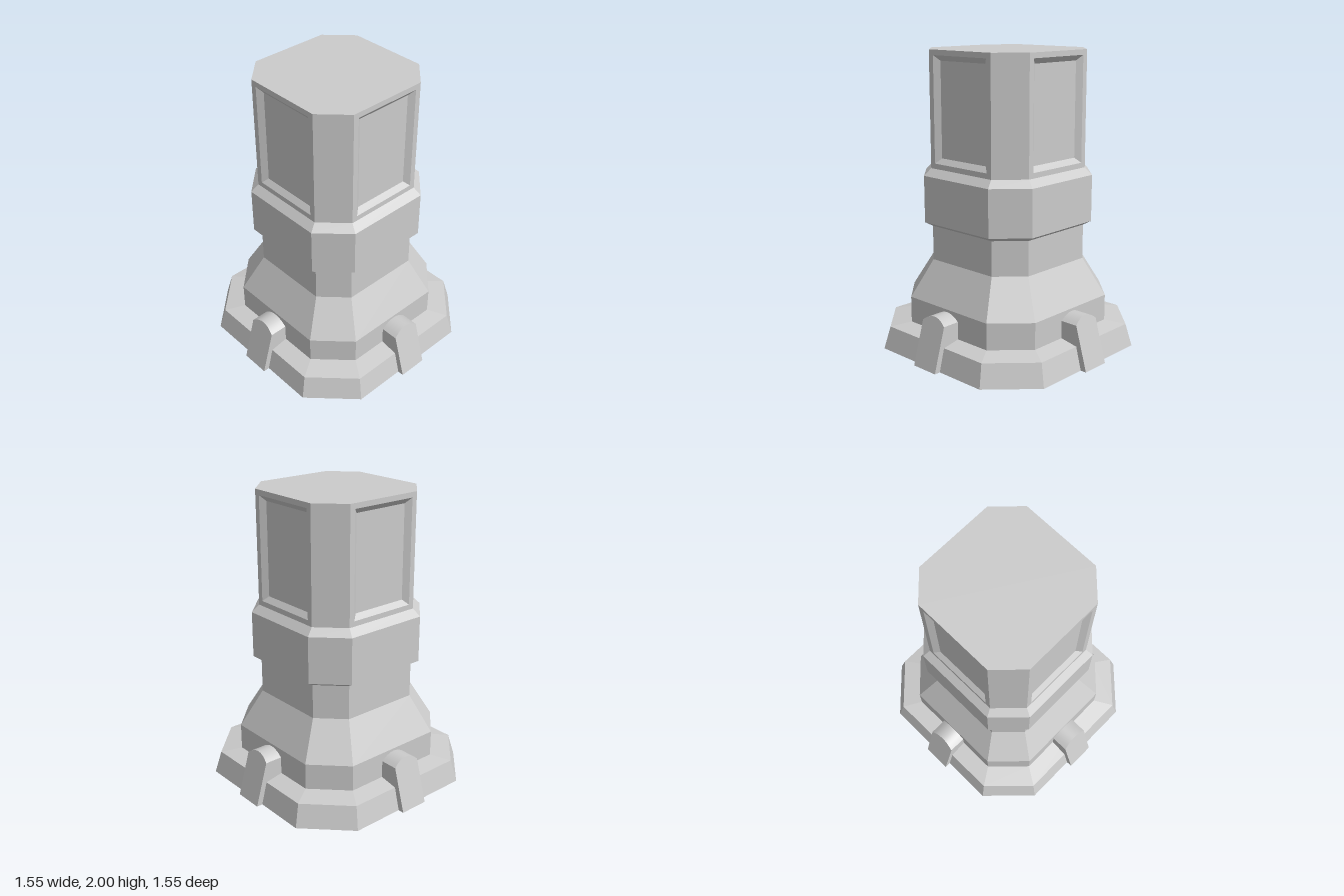
import * as THREE from 'three';
import { toCreasedNormals } from 'three/addons/utils/BufferGeometryUtils.js';

const material = new THREE.MeshStandardMaterial({ color: 0xcccccc, flatShading: true });
const smooth = new THREE.MeshStandardMaterial({ color: 0xcccccc });

// Geometry from quads, corners counter-clockwise seen from outside
function quadGeometry(quads) {
  const pos = [];
  for (const [a, b, c, d] of quads) pos.push(...a, ...b, ...c, ...a, ...c, ...d);
  const g = new THREE.BufferGeometry();
  g.setAttribute('position', new THREE.Float32BufferAttribute(pos, 3));
  g.computeVertexNormals();
  return g;
}

// Square with cut corners: a = half width, b = half length of the straight side
const ring = ([y, a, b]) => [
  [-b, y, a], [b, y, a], [a, y, b], [a, y, -b],
  [b, y, -a], [-b, y, -a], [-a, y, -b], [-a, y, b],
];

// Skin between successive rings
function loft(levels) {
  const rings = levels.map(ring), quads = [];
  for (let i = 0; i < rings.length - 1; i++) {
    for (let j = 0; j < 8; j++) {
      const k = (j + 1) % 8;
      quads.push([rings[i][j], rings[i][k], rings[i + 1][k], rings[i + 1][j]]);
    }
  }
  return quads;
}

// Flat octagonal lid, facing up or down
function cap(level, up) {
  const r = ring(level);
  const quads = [[r[0], r[1], r[4], r[5]], [r[1], r[2], r[3], r[4]], [r[0], r[5], r[6], r[7]]];
  return up ? quads : quads.map((q) => q.reverse());
}

// One side of the upper column: frame, bevel and sunken panel
function panelSide() {
  const rect = (w, y0, y1, z) => [[-w, y0, z], [w, y0, z], [w, y1, z], [-w, y1, z]];
  const loops = [
    rect(0.275, 1.23, 2, 0.44),
    rect(0.237, 1.265, 1.965, 0.44),
    rect(0.2, 1.3, 1.93, 0.41),
  ];
  const quads = [loops[2]];
  for (let i = 0; i < 2; i++) {
    for (let j = 0; j < 4; j++) {
      const k = (j + 1) % 4;
      quads.push([loops[i][j], loops[i][k], loops[i + 1][k], loops[i + 1][j]]);
    }
  }
  return quads;
}

// Arched foot with a leaning front face
function footGeometry() {
  const s = new THREE.Shape();
  s.moveTo(-0.1, 0);
  s.lineTo(0.1, 0);
  s.lineTo(0.1, 0.293);
  s.quadraticCurveTo(0, 0.377, -0.1, 0.293);
  s.closePath();
  const g = new THREE.ExtrudeGeometry(s, { depth: 1, bevelEnabled: false, curveSegments: 10 });
  const p = g.attributes.position;
  for (let i = 0; i < p.count; i++) {
    p.setZ(i, p.getZ(i) > 0.5 ? 0.777 - 0.29 * p.getY(i) : 0.5);
  }
  return toCreasedNormals(g, 0.5);
}

export function createModel() {
  const model = new THREE.Group();
  const add = (name, geometry, mat = material, turn = 0) => {
    const mesh = new THREE.Mesh(geometry, mat);
    mesh.name = name;
    mesh.rotation.y = turn * Math.PI / 2;
    model.add(mesh);
  };

  // Stacked octagonal sections: [height, half width, half straight side]
  const foot = [0, 0.735, 0.458];
  add('basePlate', quadGeometry([
    ...cap(foot, false),
    ...loft([foot, [0.152, 0.695, 0.435], [0.175, 0.572, 0.357]]),
  ]));
  add('plinth', quadGeometry(loft([[0.175, 0.572, 0.357], [0.352, 0.572, 0.357], [0.605, 0.437, 0.273]])));
  add('neck', quadGeometry(loft([[0.605, 0.437, 0.273], [0.838, 0.437, 0.273]])));
  add('collar', quadGeometry(loft([
    [0.838, 0.437, 0.273], [0.868, 0.487, 0.295], [1.182, 0.487, 0.295], [1.23, 0.44, 0.275],
  ])));
  add('columnTop', quadGeometry(cap([2, 0.44, 0.275], true)));

  // Panels, corner strips and feet repeat on all four sides
  const side = quadGeometry(panelSide());
  const corner = quadGeometry([[[0.275, 1.23, 0.44], [0.44, 1.23, 0.275], [0.44, 2, 0.275], [0.275, 2, 0.44]]]);
  const arch = footGeometry();
  for (let i = 0; i < 4; i++) {
    add('columnPanel', side, material, i);
    add('columnCorner', corner, material, i);
    add('archedFoot', arch, smooth, i);
  }
  return model;
}
